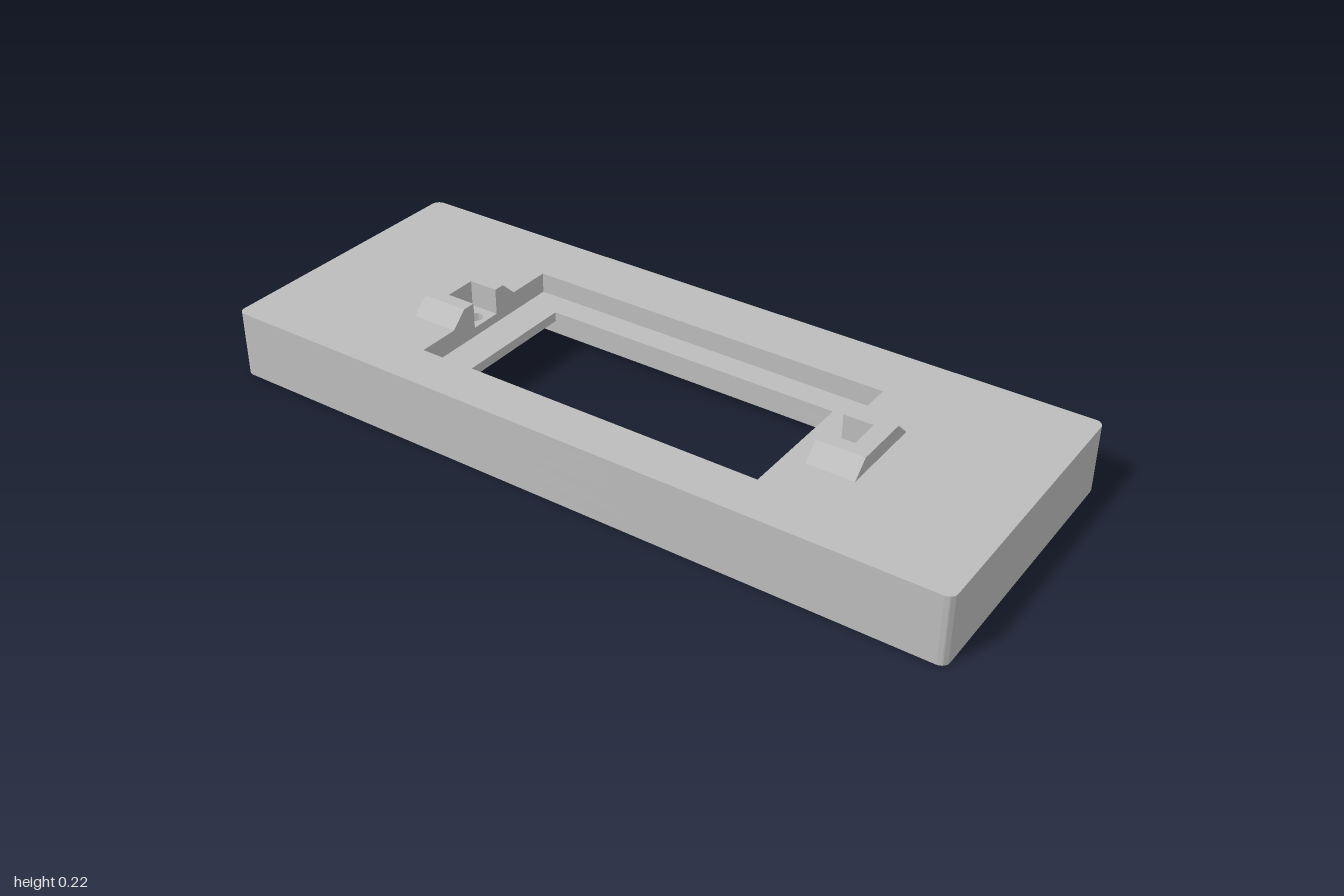
import * as THREE from 'three';
import { toCreasedNormals } from 'three/addons/utils/BufferGeometryUtils.js';

const CX = 0.014, CZ = 0.024; // centre of the cut-outs, slightly off the plate centre
const HOLE_X = 0.538;         // screw hole offset from CX

// Rounded rectangle in plan, traced into a Shape or Path (shape y = -z)
function rect(path, x0, x1, z0, z1, r = 0) {
  const a = -z1, b = -z0;
  if (r === 0) {
    path.moveTo(x0, a).lineTo(x1, a).lineTo(x1, b).lineTo(x0, b).closePath();
    return path;
  }
  path.moveTo(x0 + r, a).lineTo(x1 - r, a);
  path.absarc(x1 - r, a + r, r, -Math.PI / 2, 0);
  path.lineTo(x1, b - r);
  path.absarc(x1 - r, b - r, r, 0, Math.PI / 2);
  path.lineTo(x0 + r, b);
  path.absarc(x0 + r, b - r, r, Math.PI / 2, Math.PI);
  path.lineTo(x0, a + r);
  path.absarc(x0 + r, a + r, r, Math.PI, Math.PI * 1.5);
  return path;
}

function circle(x, z, r) {
  return new THREE.Path().absarc(x, -z, r, 0, Math.PI * 2);
}

// Closed polygon from [horizontal, vertical] pairs
function poly(points, Type = THREE.Shape) {
  return new Type(points.map(([a, b]) => new THREE.Vector2(a, b)));
}

export function createModel() {
  const group = new THREE.Group();
  const grey = new THREE.MeshStandardMaterial({ color: 0xbcbcbc });
  grey.name = 'greyPlastic';

  function add(name, geometry) {
    const mesh = new THREE.Mesh(toCreasedNormals(geometry, 0.6), grey);
    mesh.name = name;
    group.add(mesh);
  }

  // One horizontal slice of the plate with its openings
  function layer(name, y0, y1, holes) {
    const shape = rect(new THREE.Shape(), -1, 1, -0.385, 0.385, 0.022);
    shape.holes.push(...holes);
    const geometry = new THREE.ExtrudeGeometry(shape, {
      depth: y1 - y0, bevelEnabled: false, curveSegments: 16,
    });
    geometry.rotateX(-Math.PI / 2).translate(0, y0, 0);
    add(name, geometry);
  }

  const underPocket = () =>
    rect(new THREE.Path(), CX - 0.745, CX + 0.745, CZ - 0.255, CZ + 0.245, 0.14);
  const window_ = () => rect(new THREE.Path(), -0.397, 0.428, -0.145, 0.193);
  const recess = () => rect(new THREE.Path(), -0.49, 0.52, -0.214, 0.26);
  const screwHoles = () => [-1, 1].map((s) => circle(CX + s * HOLE_X, CZ, 0.02));

  // Round blind holes in the four bottom corners
  const cornerHoles = [];
  for (const sx of [-1, 1]) {
    for (const sz of [-1, 1]) cornerHoles.push(circle(sx * 0.893, sz * 0.3, 0.063));
  }

  // Recess outline joined with the two clip notches
  const notchedRecess = poly([
    [-0.49, -0.26], [0.52, -0.26], [0.52, -0.067], [0.598, -0.067],
    [0.598, 0.02], [0.52, 0.02], [0.52, 0.214], [-0.49, 0.214],
    [-0.49, 0.02], [-0.57, 0.02], [-0.57, -0.067], [-0.49, -0.067],
  ], THREE.Path);

  // Plate, from the bottom up
  layer('baseWithCornerHoles', 0, 0.045, [underPocket(), ...cornerHoles]);
  layer('underPocketWall', 0.045, 0.1, [underPocket()]);
  layer('windowLedge', 0.1, 0.126, [window_(), ...screwHoles()]);
  layer('recessWall', 0.126, 0.15, [recess(), ...screwHoles()]);
  layer('topPlate', 0.15, 0.18, [notchedRecess]);

  // Sloped clips beside the recess: profile in z and y, swept along x
  const Z0 = -0.092, Z1 = 0.145, T0 = -0.05, T1 = 0.103, N0 = -0.02, N1 = 0.067;
  const B = 0.18, T = 0.22;
  function clipPart(name, x0, x1, profile) {
    const shape = poly(profile.map(([z, y]) => [-z, y]));
    const geometry = new THREE.ExtrudeGeometry(shape, { depth: x1 - x0, bevelEnabled: false });
    geometry.rotateY(Math.PI / 2).translate(x0, 0, 0);
    add(name, geometry);
  }
  const clips = [
    { side: 'right', wall: [-0.617, -0.57], arm: [-0.57, -0.49] },
    { side: 'left', wall: [0.598, 0.645], arm: [0.52, 0.598] },
  ];
  for (const { side, wall, arm } of clips) {
    clipPart(side + 'ClipWall', ...wall, [[Z0, B], [Z1, B], [T1, T], [T0, T]]);
    clipPart(side + 'ClipBackArm', ...arm, [[Z0, B], [N0, B], [N0, T], [T0, T]]);
    clipPart(side + 'ClipFrontArm', ...arm, [[N1, B], [Z1, B], [T1, T], [N1, T]]);
  }

  return group;
}
